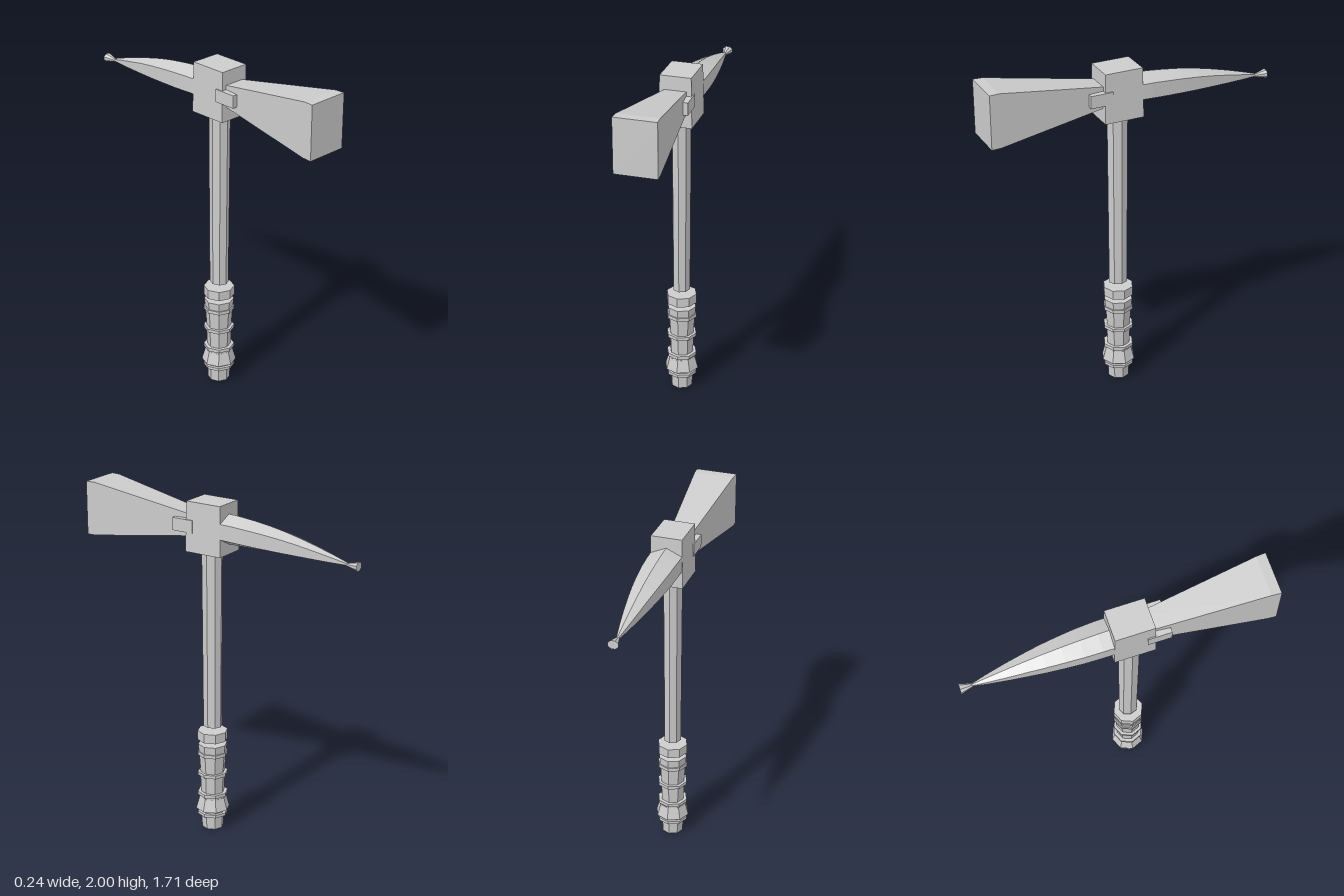
import * as THREE from 'three';

const SHAFT_Z = 0.073;

// Closed solid through matching cross-sections; corners run anticlockwise seen from +z, sections go from low z to high z
function loft(sections) {
  const n = sections[0].pts.length;
  const pos = [];
  const put = (s, i) => pos.push(s.pts[i % n][0], s.pts[i % n][1], s.z);
  for (let k = 0; k + 1 < sections.length; k++) {
    const a = sections[k], b = sections[k + 1];
    for (let i = 0; i < n; i++) {
      put(a, i); put(a, i + 1); put(b, i + 1);
      put(a, i); put(b, i + 1); put(b, i);
    }
  }
  const first = sections[0], last = sections[sections.length - 1];
  for (let i = 1; i + 1 < n; i++) {
    put(first, 0); put(first, i + 1); put(first, i);
    put(last, 0); put(last, i); put(last, i + 1);
  }
  const geo = new THREE.BufferGeometry();
  geo.setAttribute('position', new THREE.Float32BufferAttribute(pos, 3));
  geo.computeVertexNormals();
  return geo;
}

const rect = (z, hx, y0, y1) => ({ z, pts: [[-hx, y0], [hx, y0], [hx, y1], [-hx, y1]] });

export function createModel() {
  const group = new THREE.Group();
  group.name = 'warPick';
  const steel = new THREE.MeshStandardMaterial({ color: 0xcccccc, flatShading: true });
  steel.name = 'plain grey';

  const add = (name, geo) => {
    const mesh = new THREE.Mesh(geo, steel);
    mesh.name = name;
    group.add(mesh);
    return mesh;
  };

  // Eight-sided handle piece between two heights
  const turned = (name, y0, y1, r0, r1) => {
    const mesh = add(name, new THREE.CylinderGeometry(r1, r0, y1 - y0, 8));
    mesh.position.set(0, (y0 + y1) / 2, SHAFT_Z);
    return mesh;
  };

  // Shaft, slightly deeper than wide
  turned('shaft', 0.64, 1.72, 0.05, 0.056).scale.z = 1.12;

  // Grip: [name, bottom, top, bottom radius, top radius]
  [
    ['gripCollar', 0.557, 0.613, 0.088, 0.088],
    ['gripUpper', 0.483, 0.53, 0.081, 0.085],
    ['gripRing', 0.462, 0.483, 0.088, 0.088],
    ['gripMiddle', 0.355, 0.462, 0.071, 0.079],
    ['gripRing', 0.335, 0.355, 0.088, 0.088],
    ['gripLower', 0.228, 0.335, 0.068, 0.073],
    ['gripRing', 0.208, 0.228, 0.088, 0.088],
    ['gripFlareNeck', 0.195, 0.208, 0.078, 0.078],
    ['gripFlare', 0.122, 0.195, 0.099, 0.079],
    ['pommelNeck', 0.102, 0.122, 0.07, 0.07],
    ['pommelRing', 0.084, 0.102, 0.088, 0.088],
    ['pommel', 0, 0.084, 0.063, 0.067],
  ].forEach((p) => turned(...p));

  // Head block, a little narrower at the top
  const block = new THREE.BoxGeometry(0.188, 0.287, 0.23);
  const bp = block.attributes.position;
  for (let i = 0; i < bp.count; i++) {
    if (bp.getY(i) > 0) bp.setXYZ(i, bp.getX(i) * 0.94, bp.getY(i), bp.getZ(i) * 0.96);
  }
  add('headBlock', block).position.set(0, 1.833, SHAFT_Z);

  // Hammer, flaring towards its flat striking face
  add('hammer', loft([
    rect(0.1, 0.054, 1.783, 1.883),
    rect(0.8, 0.116, 1.69, 2),
    rect(0.854, 0.12, 1.69, 2),
  ]));

  // Cross tab on the sides of the hammer root
  add('sideTab', new THREE.BoxGeometry(0.194, 0.073, 0.132)).position.set(0, 1.836, 0.207);

  // Curved pick with ridges above and below: [z, half width, underside, lower edge, shoulder, top ridge]
  add('pick', loft([
    [-0.79, 0.006, 1.75, 1.753, 1.762, 1.766],
    [-0.7, 0.023, 1.749, 1.757, 1.785, 1.795],
    [-0.6, 0.039, 1.748, 1.762, 1.808, 1.824],
    [-0.5, 0.053, 1.748, 1.767, 1.829, 1.85],
    [-0.4, 0.066, 1.747, 1.772, 1.846, 1.873],
    [-0.3, 0.076, 1.747, 1.777, 1.859, 1.891],
    [-0.2, 0.084, 1.746, 1.782, 1.869, 1.904],
    [-0.1, 0.088, 1.745, 1.787, 1.876, 1.914],
    [-0.01, 0.089, 1.745, 1.791, 1.878, 1.918],
  ].map(([z, w, under, low, shoulder, top]) => ({
    z, pts: [[0, under], [w, low], [w, shoulder], [0, top], [-w, shoulder], [-w, low]],
  }))));

  // Small flared button at the pick's point
  const ring = (z, rx, ry) => ({
    z,
    pts: Array.from({ length: 8 }, (_, i) => {
      const a = (i + 0.5) * Math.PI / 4;
      return [Math.cos(a) * rx, 1.756 + Math.sin(a) * ry];
    }),
  });
  add('pickTip', loft([ring(-0.854, 0.031, 0.026), ring(-0.785, 0.01, 0.009)]));

  return group;
}
